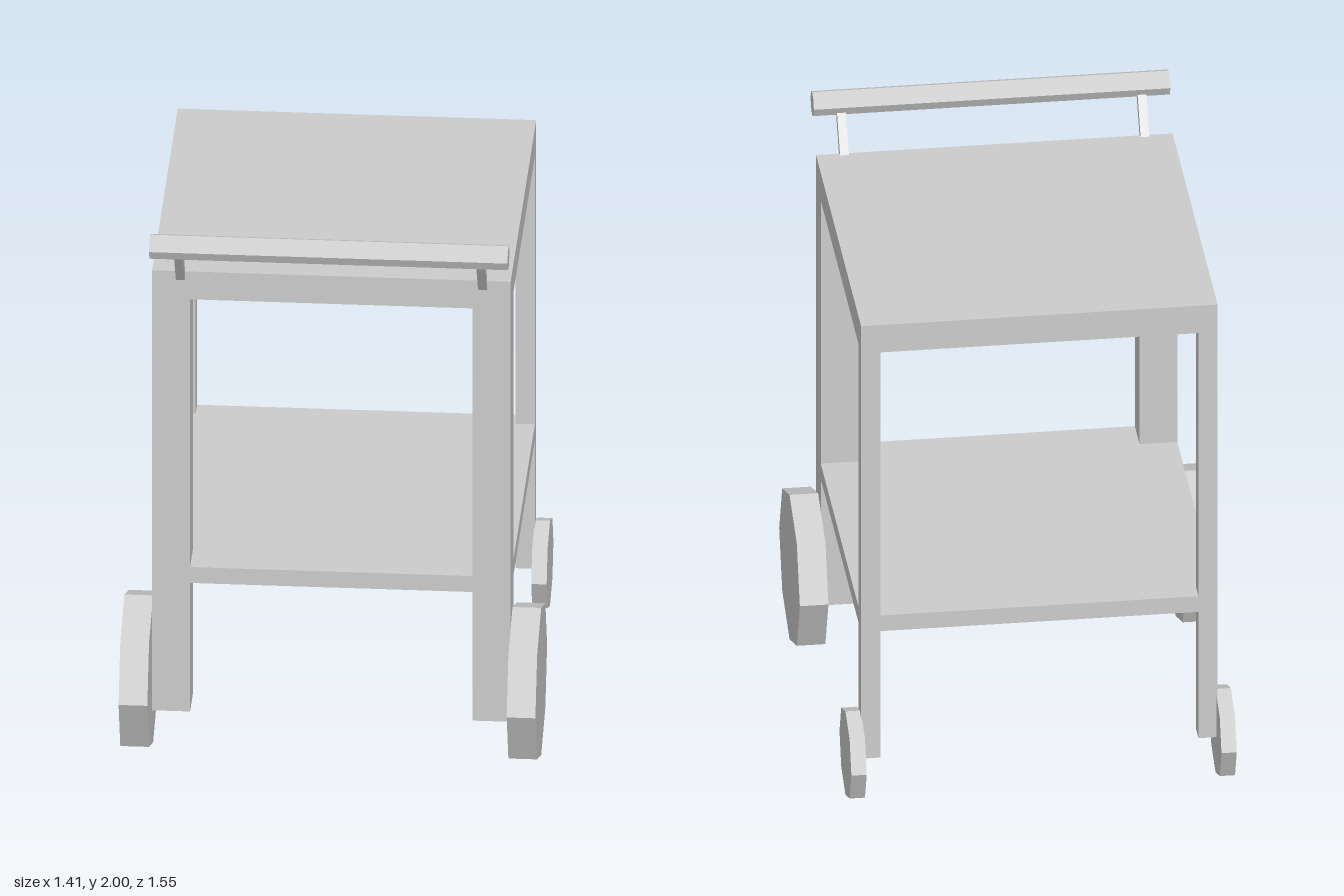
import * as THREE from 'three';

const material = new THREE.MeshStandardMaterial({ color: 0xcccccc, flatShading: true });

export function createModel() {
  const model = new THREE.Group();
  model.name = 'trolley';

  const add = (name, geometry, x, y, z) => {
    const mesh = new THREE.Mesh(geometry, material);
    mesh.name = name;
    mesh.position.set(x, y, z);
    model.add(mesh);
    return mesh;
  };

  // Box given by its lower and upper corners
  const addBox = (name, [x0, y0, z0], [x1, y1, z1]) =>
    add(name, new THREE.BoxGeometry(x1 - x0, y1 - y0, z1 - z0),
      (x0 + x1) / 2, (y0 + y1) / 2, (z0 + z1) / 2);

  // Eight-sided cylinder lying along x, with a corner pointing up
  const barGeometry = (radius, length) =>
    new THREE.CylinderGeometry(radius, radius, length, 8).rotateZ(Math.PI / 2);

  // Table top and lower shelf, flush with the legs
  const halfWidth = 0.605, back = -0.645, front = 0.565;
  addBox('tableTop', [-halfWidth, 1.71, back], [halfWidth, 1.815, front]);
  addBox('shelf', [-halfWidth, 0.64, back], [halfWidth, 0.7, front]);

  // Push handle bar
  const handleY = 1.957, handleZ = 0.667;
  add('handleBar', barGeometry(0.044, halfWidth * 2), 0, handleY, handleZ);

  for (const side of [1, -1]) {
    const label = side > 0 ? 'left' : 'right';

    // Thick front legs, thin back legs
    const addLeg = (name, width, z0, z1) => {
      const leg = addBox(name, [halfWidth - width, 0.155, z0], [halfWidth, 1.71, z1]);
      leg.position.x *= side;
    };
    addLeg(label + 'FrontLeg', 0.128, front - 0.128, front);
    addLeg(label + 'BackLeg', 0.065, back, back + 0.065);

    // Large front wheels, small back wheels
    add(label + 'FrontWheel', barGeometry(0.277, 0.097), side * 0.655, 0.277, 0.497);
    add(label + 'BackWheel', barGeometry(0.16, 0.052), side * 0.628, 0.162, -0.612);

    // Slanted handle bracket
    const footY = 1.79, footZ = 0.553;
    const dy = handleY - footY, dz = handleZ - footZ;
    const bracket = add(label + 'HandleBracket',
      new THREE.BoxGeometry(0.03, Math.hypot(dy, dz), 0.03),
      side * 0.51, (handleY + footY) / 2, (handleZ + footZ) / 2);
    bracket.rotation.x = Math.atan2(dz, dy);
  }

  return model;
}
